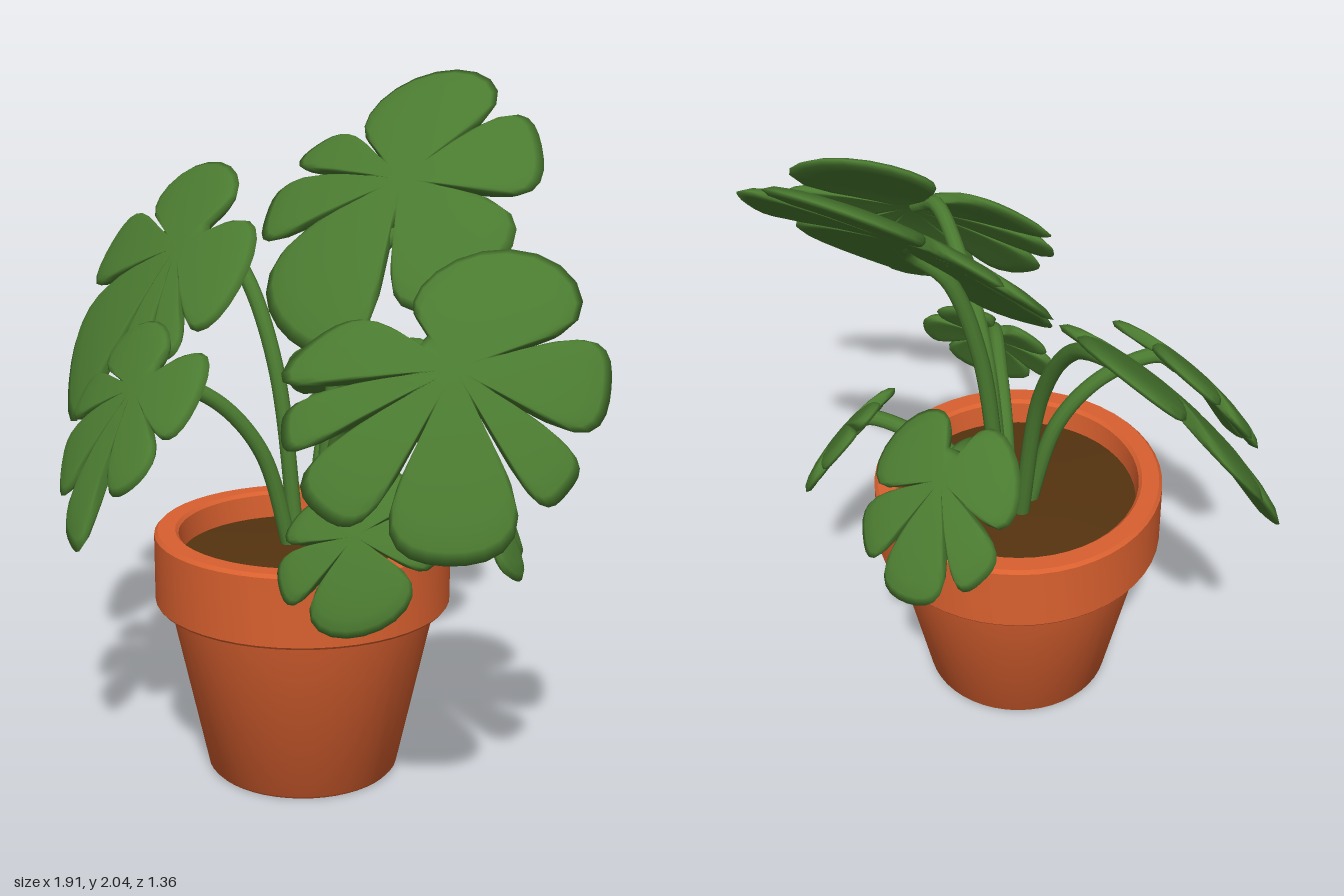
import * as THREE from 'three';
import { toCreasedNormals } from 'three/addons/utils/BufferGeometryUtils.js';

const { lerp, degToRad } = THREE.MathUtils;

// Outline as [angle, radius] pairs: one rounded lobe between each two neighbouring cuts.
// A cut is [degrees, radius, radius after the cut if it differs].
function leafOutline(cuts, slit) {
  const pts = [], steps = 14, gap = 1;
  for (let k = 0; k < cuts.length - 1; k++) {
    const [a0, before, after = before] = cuts[k];
    const [a1, r1] = cuts[k + 1];
    for (let i = 0; i <= steps; i++) {
      const t = (1 - Math.cos((Math.PI * i) / steps)) / 2;
      const round = Math.pow(Math.max(0, 1 - Math.pow(Math.abs(2 * t - 1), 4)), 0.25);
      pts.push([degToRad(lerp(a0 + gap, a1 - gap, t)), lerp(slit, lerp(after, r1, t), round)]);
    }
  }
  return pts;
}

// Thick blade: rings run from the centre out over the top, then back in underneath
function bladeGeometry(outline, pointAt) {
  const n = outline.length, half = 0.019, spread = [0.3, 0.6, 0.82, 0.94, 1];
  const height = (s) => half * Math.sqrt(1 - Math.pow(s, 8));
  const rings = [
    ...spread.map((s) => [s, height(s)]),
    ...spread.slice(0, -1).reverse().map((s) => [s, -height(s)]),
  ];
  const points = [], idx = [];
  for (const [s, h] of rings) {
    for (const [a, r] of outline) points.push(pointAt(Math.cos(a) * r * s, Math.sin(a) * r * s, h));
  }
  const top = points.length, bottom = top + 1, last = top - n;
  points.push(pointAt(0, 0, half), pointAt(0, 0, -half));
  for (let i = 0; i < n; i++) {
    const k = (i + 1) % n;
    idx.push(top, i, k, bottom, last + k, last + i);
    for (let a = 0; a < last; a += n) {
      const b = a + n;
      idx.push(a + i, b + i, b + k, a + i, b + k, a + k);
    }
  }
  const g = new THREE.BufferGeometry().setFromPoints(points);
  g.setIndex(idx);
  g.computeVertexNormals();
  return g;
}

// Stem arching from the soil near the middle of the pot up to the leaf
function stemGeometry(join, end) {
  const at = (across, up) => new THREE.Vector3(join.x * across, lerp(0.62, join.y, up), join.z * across);
  const path = new THREE.CatmullRomCurve3([at(0.1, 0), at(0.33, 0.62), at(0.65, 0.9), join, end]);
  return new THREE.TubeGeometry(path, 32, 0.024, 10);
}

export function createModel() {
  const material = (name, color) => Object.assign(new THREE.MeshStandardMaterial({ color }), { name });
  const green = material('leafGreen', 0x4a7a30);
  const clay = material('terracotta', 0xd9602f);
  const earth = material('soilBrown', 0x55330f);

  const model = new THREE.Group();
  model.name = 'pottedPlant';
  const addGroup = (name) => {
    const group = new THREE.Group();
    group.name = name;
    model.add(group);
    return group;
  };
  const addMesh = (parent, name, geometry, mat) => {
    const mesh = new THREE.Mesh(geometry, mat);
    mesh.name = name;
    parent.add(mesh);
  };
  const lathe = (pts) => toCreasedNormals(
    new THREE.LatheGeometry(pts.map(([x, y]) => new THREE.Vector2(x, y)), 48), 0.6);

  // Pot, rim and soil
  const pot = addGroup('pot');
  pot.position.z = 0.042;
  addMesh(pot, 'potBody', lathe([[0, 0], [0.278, 0], [0.287, 0.01], [0.402, 0.54]]), clay);
  addMesh(pot, 'potRim', lathe([[0.395, 0.53], [0.435, 0.53], [0.44, 0.537], [0.44, 0.738], [0.43, 0.748],
    [0.378, 0.748], [0.368, 0.738], [0.36, 0.64]]), clay);
  addMesh(pot, 'soil', lathe([[0.37, 0.665], [0.2, 0.68], [0, 0.69]]), earth);

  // Leaf with its stem: centre, depth slope across and up, turn about y, stem joint, cuts
  function addLeaf(name, [x, y, z], [slopeU, slopeV], turn, [joinU, joinV], cuts) {
    const up = new THREE.Vector3(0, 1, 0);
    const uAxis = new THREE.Vector3(1, 0, slopeU).applyAxisAngle(up, turn);
    const vAxis = new THREE.Vector3(0, 1, slopeV).applyAxisAngle(up, turn);
    const normal = uAxis.clone().cross(vAxis).normalize();
    const size = cuts.reduce((sum, cut) => sum + cut[1], 0) / cuts.length;
    const bend = 0.13 / size;
    const pointAt = (u, v, h) => new THREE.Vector3(x, y, z)
      .addScaledVector(uAxis, u).addScaledVector(vAxis, v)
      .addScaledVector(normal, h - bend * (u * u + v * v));
    const leaf = addGroup(name);
    addMesh(leaf, 'blade', bladeGeometry(leafOutline(cuts, size * 0.32), pointAt), green);
    addMesh(leaf, 'stem', stemGeometry(pointAt(joinU, joinV, -0.015), pointAt(joinU * 0.2, joinV * 0.2, -0.01)), green);
  }

  // Four large leaves
  addLeaf('tallBackLeaf', [0.17, 1.735, -0.3], [0, -1.05], 0, [0.03, -0.1],
    [[-78, 0.32], [-2, 0.42], [45, 0.37], [147, 0.29], [175, 0.43], [204, 0.45], [279, 0.41]]);
  addLeaf('frontLeftLeaf', [0.59, 1.35, 0.39], [-0.35, -0.8], 0, [-0.1, 0.06],
    [[150, 0.3], [186, 0.48, 0.41], [210, 0.41], [253, 0.37], [312, 0.46, 0.42], [337, 0.41], [380, 0.36], [498, 0.25]]);
  addLeaf('backRightLeaf', [-0.545, 1.497, -0.24], [0.45, -1], 0, [0.09, 0.06],
    [[48, 0.25], [159, 0.28, 0.34], [201, 0.46], [244, 0.59, 0.33], [272, 0.29], [304, 0.27], [393, 0.29]]);
  addLeaf('frontRightLeaf', [-0.42, 1.17, 0.27], [0.5, -1], 0, [0.06, 0.04],
    [[60, 0.14], [173, 0.24], [205, 0.31], [239, 0.36], [267, 0.38, 0.25], [328, 0.2], [402, 0.26]]);

  // Three small low leaves
  addLeaf('lowFrontLeaf', [0.35, 0.89, 0.47], [-0.2, -0.6], 0, [-0.04, 0.07],
    [[140, 0.15], [191, 0.21], [237, 0.23], [337, 0.23], [392, 0.2], [478, 0.15]]);
  addLeaf('lowSideLeaf', [0.5, 0.845, -0.14], [-0.1, -0.7], Math.PI / 2, [-0.03, 0.06],
    [[130, 0.17], [174, 0.21], [225, 0.19], [292, 0.23], [346, 0.18], [413, 0.17], [465, 0.15]]);
  addLeaf('lowBackLeaf', [-0.04, 1.09, -0.44], [0, -0.9], Math.PI, [0, 0.05],
    [[108, 0.15], [201, 0.25], [241, 0.27], [299, 0.26], [339, 0.25], [432, 0.15]]);

  return model;
}
